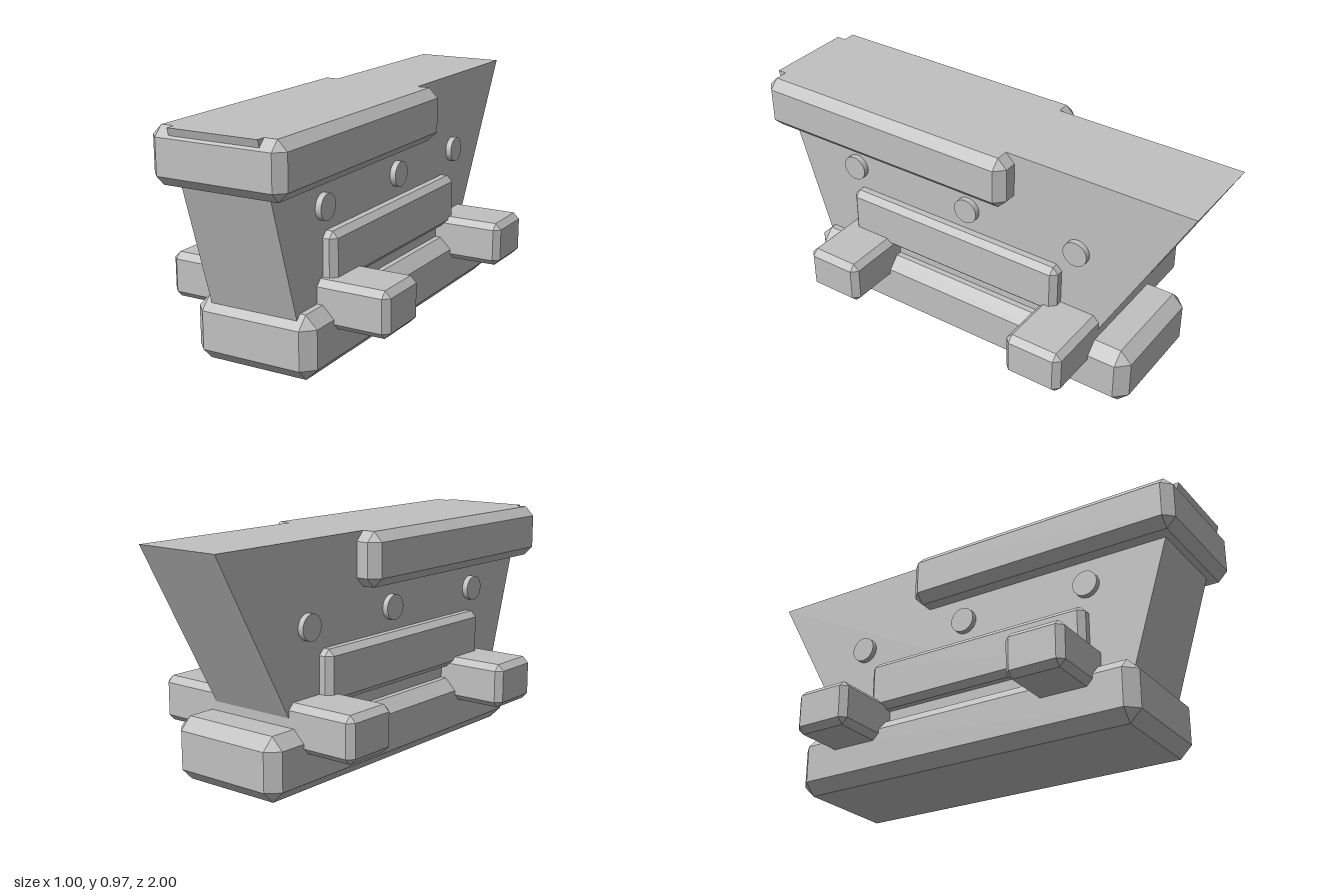
import * as THREE from 'three';
import { ConvexGeometry } from 'three/addons/geometries/ConvexGeometry.js';

const grey = new THREE.MeshStandardMaterial({ color: 0xc0c0c0 });
grey.name = 'grey';

// Box between two corners with every edge chamfered by c
function chamferBox(name, [x0, y0, z0], [x1, y1, z1], c) {
  const half = [(x1 - x0) / 2, (y1 - y0) / 2, (z1 - z0) / 2];
  const points = [];
  for (const sx of [-1, 1]) for (const sy of [-1, 1]) for (const sz of [-1, 1])
    for (let axis = 0; axis < 3; axis++) {
      const [x, y, z] = half.map((h, i) => (i === axis ? h : h - c));
      points.push(new THREE.Vector3(sx * x, sy * y, sz * z));
    }
  const mesh = new THREE.Mesh(new ConvexGeometry(points), grey);
  mesh.position.set((x0 + x1) / 2, (y0 + y1) / 2, (z0 + z1) / 2);
  mesh.name = name;
  return mesh;
}

export function createModel() {
  const model = new THREE.Group();
  model.name = 'model';

  // Base block
  model.add(chamferBox('base', [-0.27, 0, -0.8], [0.27, 0.26, 0.8], 0.05));

  // Tapered body: side profile (z, y) extruded across x
  const profile = new THREE.Shape([[1, 0.97], [-1, 0.97], [-0.52, 0.1], [0.728, 0.1]]
    .map(([z, y]) => new THREE.Vector2(-z, y)));
  const bodyGeometry = new THREE.ExtrudeGeometry(profile, { depth: 0.39, bevelEnabled: false });
  bodyGeometry.translate(0, 0, -0.195).rotateY(Math.PI / 2);
  const body = new THREE.Mesh(bodyGeometry, grey);
  body.name = 'body';
  model.add(body);

  // Upper collar and side armour
  model.add(chamferBox('upperCollar', [-0.29, 0.745, -0.22], [0.29, 0.97, 1], 0.04));
  model.add(chamferBox('sidePanel', [-0.248, 0.315, -0.45], [0.248, 0.535, 0.585], 0.025));

  // Front and rear crossbars
  for (const [name, z] of [['frontCrossbar', 0.502], ['rearCrossbar', -0.502]])
    model.add(chamferBox(name, [-0.5, 0.165, z - 0.127], [0.5, 0.355, z + 0.127], 0.026));

  // Round pins through the body, showing on both sides
  for (const z of [0.583, 0.003, -0.518]) {
    const pin = new THREE.Mesh(new THREE.CylinderGeometry(0.054, 0.054, 0.44, 24), grey);
    pin.rotation.z = Math.PI / 2;
    pin.position.set(0, 0.635, z);
    pin.name = 'pin';
    model.add(pin);
  }
  return model;
}
